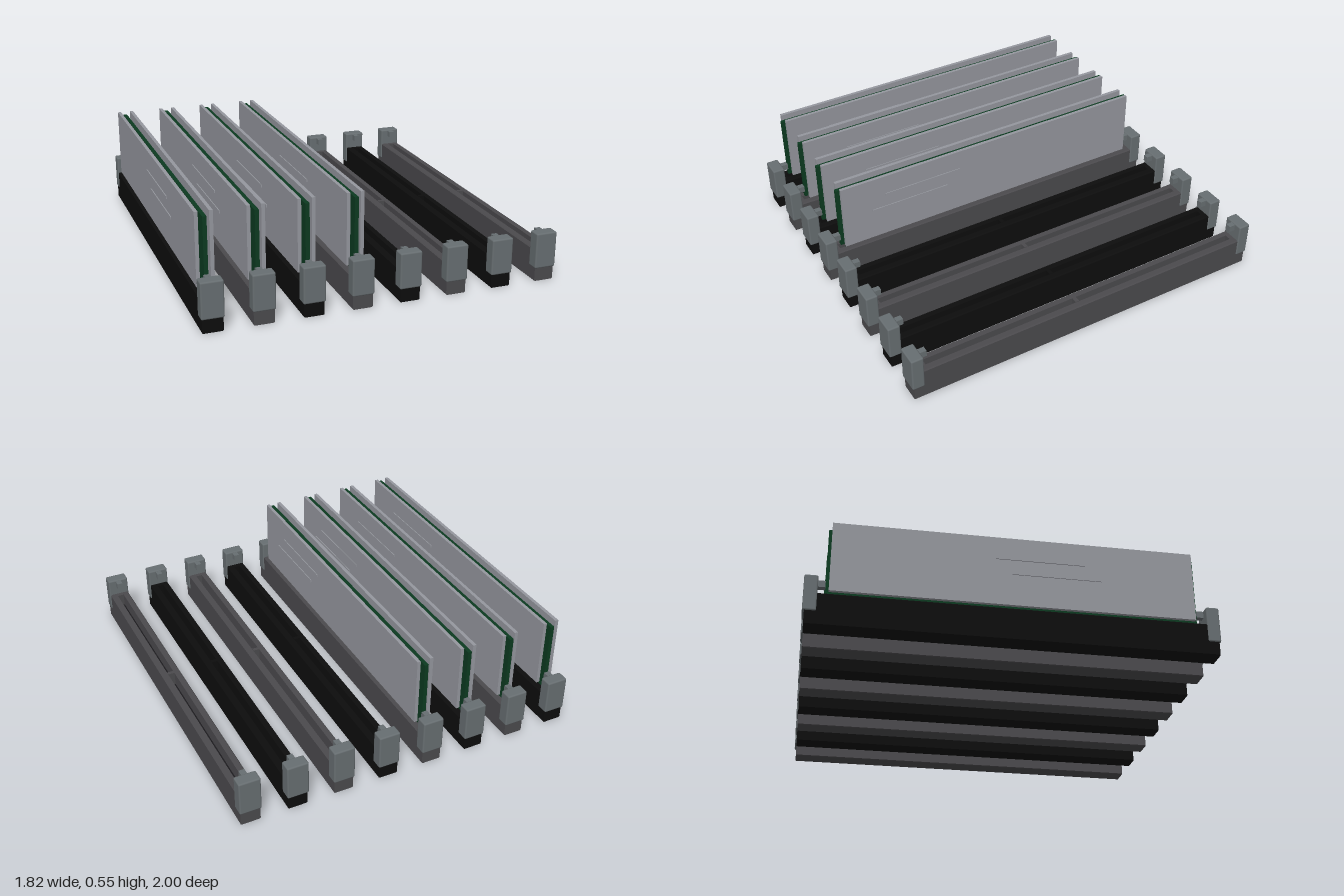
import * as THREE from 'three';
import { RoundedBoxGeometry } from 'three/addons/geometries/RoundedBoxGeometry.js';

const mat = (name, color) => {
  const m = new THREE.MeshStandardMaterial({ color });
  m.name = name;
  return m;
};

export function createModel() {
  const black = mat('black plastic', 0x0d0d0d);
  const grey = mat('dark grey plastic', 0x4b4a4d);
  const latchGrey = mat('latch grey', 0x676e71);
  const green = mat('board green', 0x0c3a20);
  const metal = mat('heat spreader metal', 0x95979e);
  const shadow = mat('groove charcoal', 0x1c1b1e);

  const add = (parent, name, geo, material, x, y, z) => {
    const m = new THREE.Mesh(geo, material);
    m.name = name;
    m.position.set(x, y, z);
    parent.add(m);
    return m;
  };
  // Box given by its size and its centre
  const box = (p, name, material, w, h, d, x, y, z) =>
    add(p, name, new THREE.BoxGeometry(w, h, d), material, x, y, z);

  // Long socket: channelled housing with a latch at each end
  function makeSlot(plastic) {
    const g = new THREE.Group();
    g.name = 'slot';
    // U-shaped section with chamfered outer edges
    const s = new THREE.Shape([
      [-0.047, 0], [0.047, 0], [0.051, 0.004], [0.051, 0.16], [0.046, 0.165], [0.017, 0.165],
      [0.017, 0.09], [-0.017, 0.09], [-0.017, 0.165], [-0.046, 0.165], [-0.051, 0.16], [-0.051, 0.004],
    ].map(([x, y]) => new THREE.Vector2(x, y)));
    const body = new THREE.ExtrudeGeometry(s, { depth: 1.98, bevelEnabled: false });
    body.translate(0, 0, -0.99);
    add(g, 'housing', body, plastic, 0, 0, 0);
    box(g, 'grooveFloor', plastic === black ? black : shadow, 0.034, 0.006, 1.82, 0, 0.093, 0);
    box(g, 'key', plastic, 0.034, 0.078, 0.02, 0, 0.129, 0.06);
    for (const e of [-1, 1]) {
      box(g, 'endBlock', plastic, 0.034, 0.08, 0.08, 0, 0.125, e * 0.95);
      add(g, 'latch', new RoundedBoxGeometry(0.112, 0.185, 0.065, 2, 0.008), latchGrey, 0, 0.1625, e * 0.9675);
      box(g, 'latchHook', latchGrey, 0.03, 0.034, 0.04, 0, 0.232, e * 0.92);
    }
    return g;
  }

  // Memory card: board, two rows of chips and a spreader on each side
  function makeCard() {
    const g = new THREE.Group();
    g.name = 'memoryCard';
    box(g, 'board', green, 0.02, 0.352, 1.8, 0, 0.354, 0);
    // Contact edge, split by the key notch
    box(g, 'contactEdge', green, 0.02, 0.078, 0.8, 0, 0.139, 0.47);
    box(g, 'contactEdge', green, 0.02, 0.078, 0.92, 0, 0.139, -0.41);
    for (const side of [-1, 1]) {
      for (let i = 0; i < 8; i++) {
        const z = (i - 3.5) * 0.207;
        box(g, 'upperChip', black, 0.014, 0.105, 0.19, side * 0.017, 0.415, z);
        box(g, 'lowerChip', black, 0.014, 0.07, 0.19, side * 0.017, 0.283, z);
      }
      box(g, 'heatSpreader', metal, 0.018, 0.365, 1.77, side * 0.035, 0.368, 0);
      // Two slim staggered ridges
      const z = side > 0 ? 0.42 : 0.12;
      box(g, 'upperRidge', metal, 0.006, 0.014, 0.44, side * 0.0455, 0.436, z);
      box(g, 'lowerRidge', metal, 0.006, 0.014, 0.44, side * 0.0455, 0.357, z + 0.08);
    }
    return g;
  }

  // Eight sockets in alternating colours, the first four filled
  const model = new THREE.Group();
  model.name = 'memoryBank';
  for (let i = 0; i < 8; i++) {
    const unit = new THREE.Group();
    unit.name = 'memoryUnit';
    unit.position.x = (i - 3.5) * 0.2443;
    unit.add(makeSlot(i % 2 ? grey : black));
    if (i < 4) unit.add(makeCard());
    model.add(unit);
  }
  return model;
}
